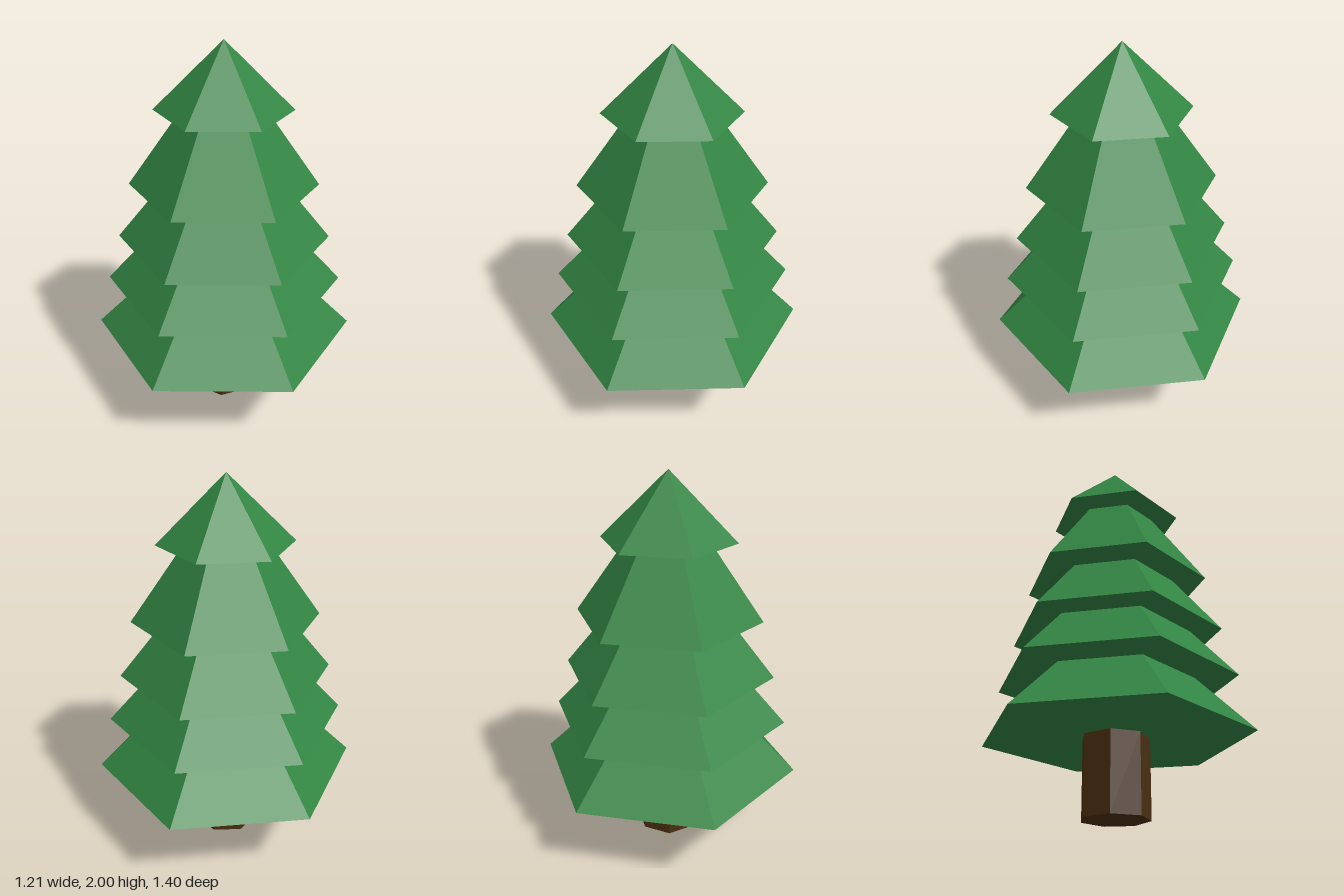
import * as THREE from 'three';

export function createModel() {
  const tree = new THREE.Group();
  tree.name = 'pineTree';

  const foliage = new THREE.MeshStandardMaterial({ color: 0x328543, flatShading: true });
  foliage.name = 'foliageGreen';
  const bark = new THREE.MeshStandardMaterial({ color: 0x4a2f11, flatShading: true });
  bark.name = 'barkBrown';

  // Seven-sided trunk with one corner pointing to the back
  const trunk = new THREE.Mesh(
    new THREE.CylinderGeometry(0.175, 0.175, 0.4, 7, 1, false, Math.PI),
    bark
  );
  trunk.name = 'trunk';
  trunk.position.y = 0.2;
  tree.add(trunk);

  // Overlapping six-sided cones, lowest first: [base height, radius, cone height]
  const tiers = [
    [0.4, 0.7, 0.7],
    [0.69, 0.63, 0.7],
    [0.95, 0.56, 0.7],
    [1.255, 0.49, 0.7],
    [1.655, 0.35, 0.345],
  ];
  tiers.forEach(([base, radius, height], i) => {
    const tier = new THREE.Mesh(new THREE.ConeGeometry(radius, height, 6), foliage);
    tier.name = `foliageTier${i + 1}`;
    tier.position.y = base + height / 2;
    tree.add(tier);
  });

  return tree;
}
